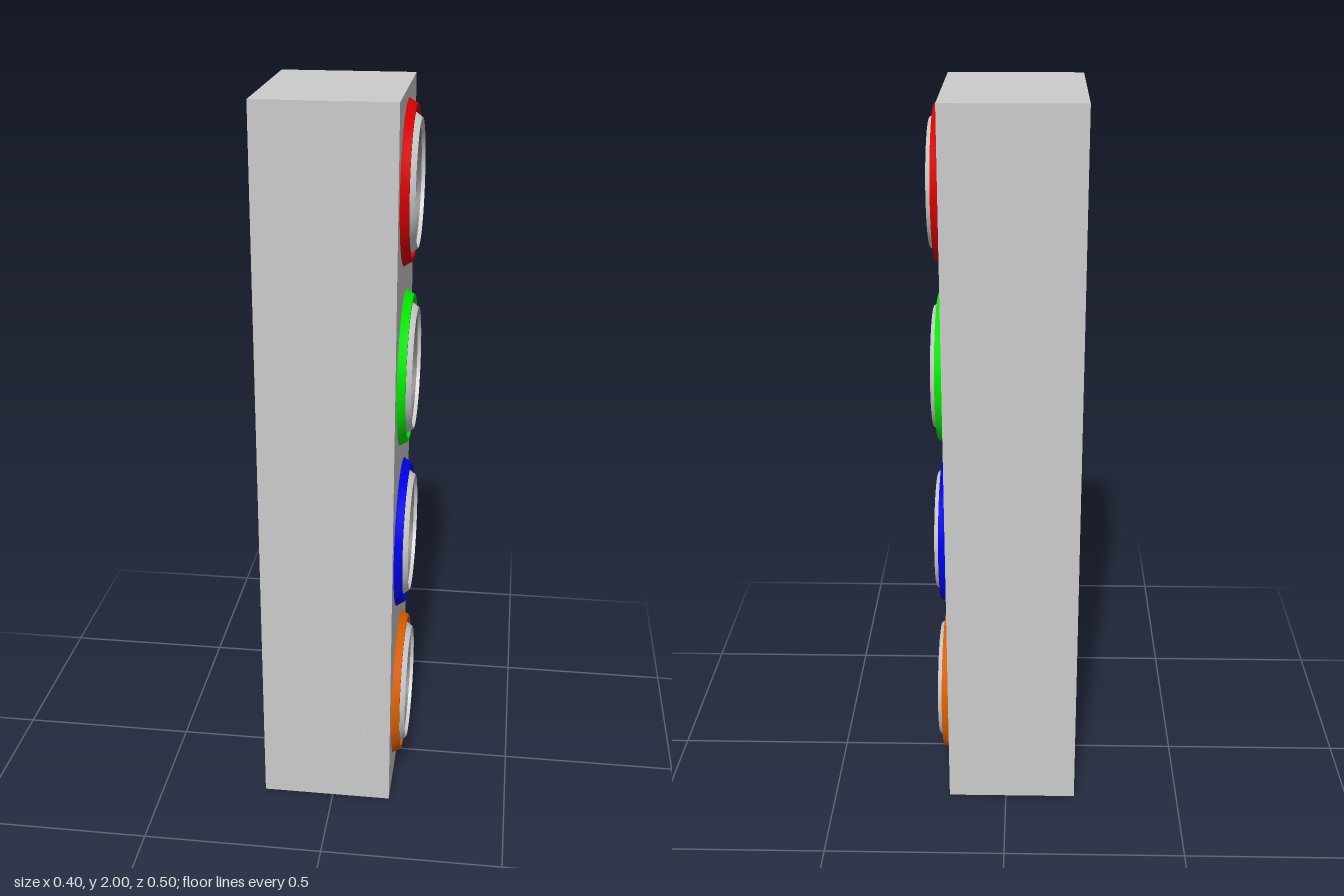
import * as THREE from 'three';
import { toCreasedNormals } from 'three/addons/utils/BufferGeometryUtils.js';

const HEIGHT = 2, DEPTH = 0.495;
const BACK = -0.2, SEAM = 0.09, FACE = 0.165; // x positions of the cabinet
const SEGMENTS = 48;

const drivers = [
  { y: 0.247, color: 0xe06000 },
  { y: 0.752, color: 0x0000ee },
  { y: 1.252, color: 0x00ee00 },
  { y: 1.757, color: 0xdd0000 },
];

function makeMesh(name, geometry, color = 0xcccccc) {
  const mesh = new THREE.Mesh(geometry, new THREE.MeshStandardMaterial({ color }));
  mesh.name = name;
  return mesh;
}

// Revolve [radius, x] points around the x axis, keeping the edges sharp
function ring(name, profile, color) {
  const points = profile.map(([r, x]) => new THREE.Vector2(r, x));
  const lathe = new THREE.LatheGeometry(points, SEGMENTS);
  const mesh = makeMesh(name, toCreasedNormals(lathe, 0.35).rotateZ(-Math.PI / 2), color);
  mesh.material.side = THREE.DoubleSide;
  return mesh;
}

function createCabinet() {
  const cabinet = new THREE.Group();
  cabinet.name = 'cabinet';

  const body = makeMesh('cabinetBody', new THREE.BoxGeometry(SEAM - BACK, HEIGHT, DEPTH));
  body.position.set((BACK + SEAM) / 2, HEIGHT / 2, 0);

  // Baffle with a round cut-out for each driver
  const outline = new THREE.Shape();
  outline.moveTo(-DEPTH / 2, 0);
  outline.lineTo(DEPTH / 2, 0);
  outline.lineTo(DEPTH / 2, HEIGHT);
  outline.lineTo(-DEPTH / 2, HEIGHT);
  outline.closePath();
  for (const { y } of drivers) {
    outline.holes.push(new THREE.Path().absarc(0, y, 0.19, 0, Math.PI * 2, true));
  }
  const panel = new THREE.ExtrudeGeometry(outline, {
    depth: FACE - SEAM, bevelEnabled: false, curveSegments: SEGMENTS,
  });
  panel.rotateY(Math.PI / 2).translate(SEAM, 0, 0);

  cabinet.add(body, makeMesh('baffle', panel));
  return cabinet;
}

function createDriver({ y, color }) {
  const driver = new THREE.Group();
  driver.name = 'driver';
  driver.position.y = y;
  driver.add(
    // Coloured trim around the cut-out
    ring('trimRing', [[0.214, 0.164], [0.21, 0.17], [0.2, 0.187], [0.191, 0.187], [0.186, 0.165]], color),
    // Pale raised rim
    ring('rim', [[0.188, 0.165], [0.175, 0.187], [0.165, 0.2], [0.163, 0.2], [0.16, 0.185]]),
    // Surround and cone sinking into the cabinet
    ring('surround', [[0.163, 0.198], [0.158, 0.178], [0.124, 0.15]], 0x727272),
    ring('cone', [[0.124, 0.15], [0.07, 0.118]], 0x404040),
    ring('dustCap', [[0.07, 0.118], [0.045, 0.122], [0.02, 0.125], [0, 0.126]], 0x0c0c0c),
  );
  return driver;
}

export function createModel() {
  const model = new THREE.Group();
  model.name = 'speakerTower';
  model.add(createCabinet(), ...drivers.map(createDriver));
  return model;
}
